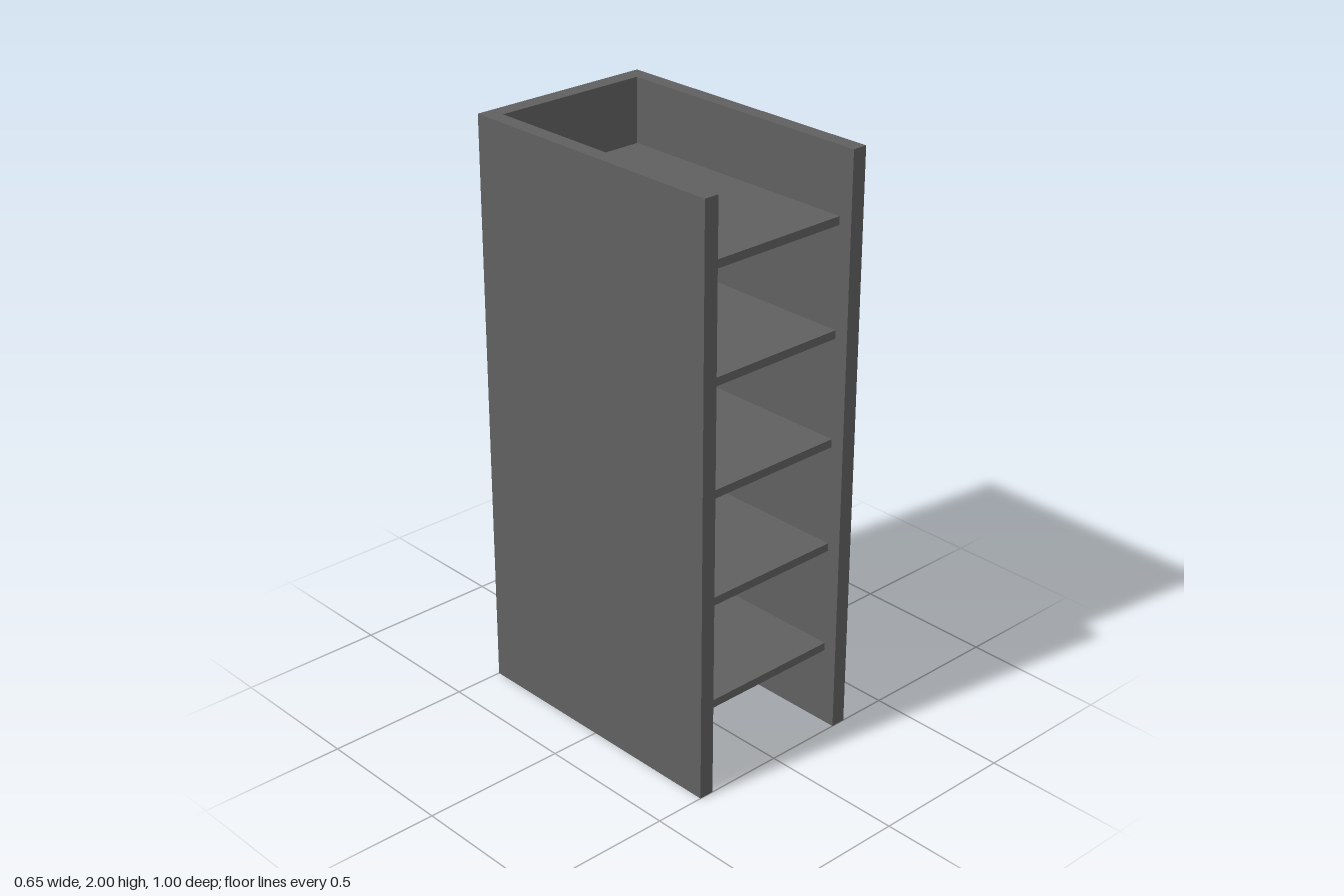
import * as THREE from 'three';

export function createModel() {
  const model = new THREE.Group();
  model.name = 'shelfUnit';
  const darkGrey = new THREE.MeshStandardMaterial({ color: 0x606060 });
  darkGrey.name = 'darkGrey';

  const height = 2, outerX = 0.326, innerX = 0.274, depthZ = 0.5, backZ = -0.443;

  // Side walls and back panel: one U-shaped plan, extruded upwards (shape y becomes -z)
  const plan = new THREE.Shape([
    [-outerX, -depthZ], [-innerX, -depthZ], [-innerX, -backZ], [innerX, -backZ],
    [innerX, -depthZ], [outerX, -depthZ], [outerX, depthZ], [-outerX, depthZ],
  ].map(([x, y]) => new THREE.Vector2(x, y)));
  const shell = new THREE.ExtrudeGeometry(plan, { depth: height, bevelEnabled: false });
  shell.rotateX(-Math.PI / 2);
  const casing = new THREE.Mesh(shell, darkGrey);
  casing.name = 'casing';
  model.add(casing);

  // Five evenly spaced shelves, set back from the front edge
  const shelfFront = 0.452, thickness = 0.028;
  const board = new THREE.BoxGeometry(innerX * 2, thickness, shelfFront - backZ);
  for (let i = 0; i < 5; i++) {
    const shelf = new THREE.Mesh(board, darkGrey);
    shelf.name = `shelf${i + 1}`;
    shelf.position.set(0, 0.285 + i * 0.37, (shelfFront + backZ) / 2);
    model.add(shelf);
  }
  return model;
}
